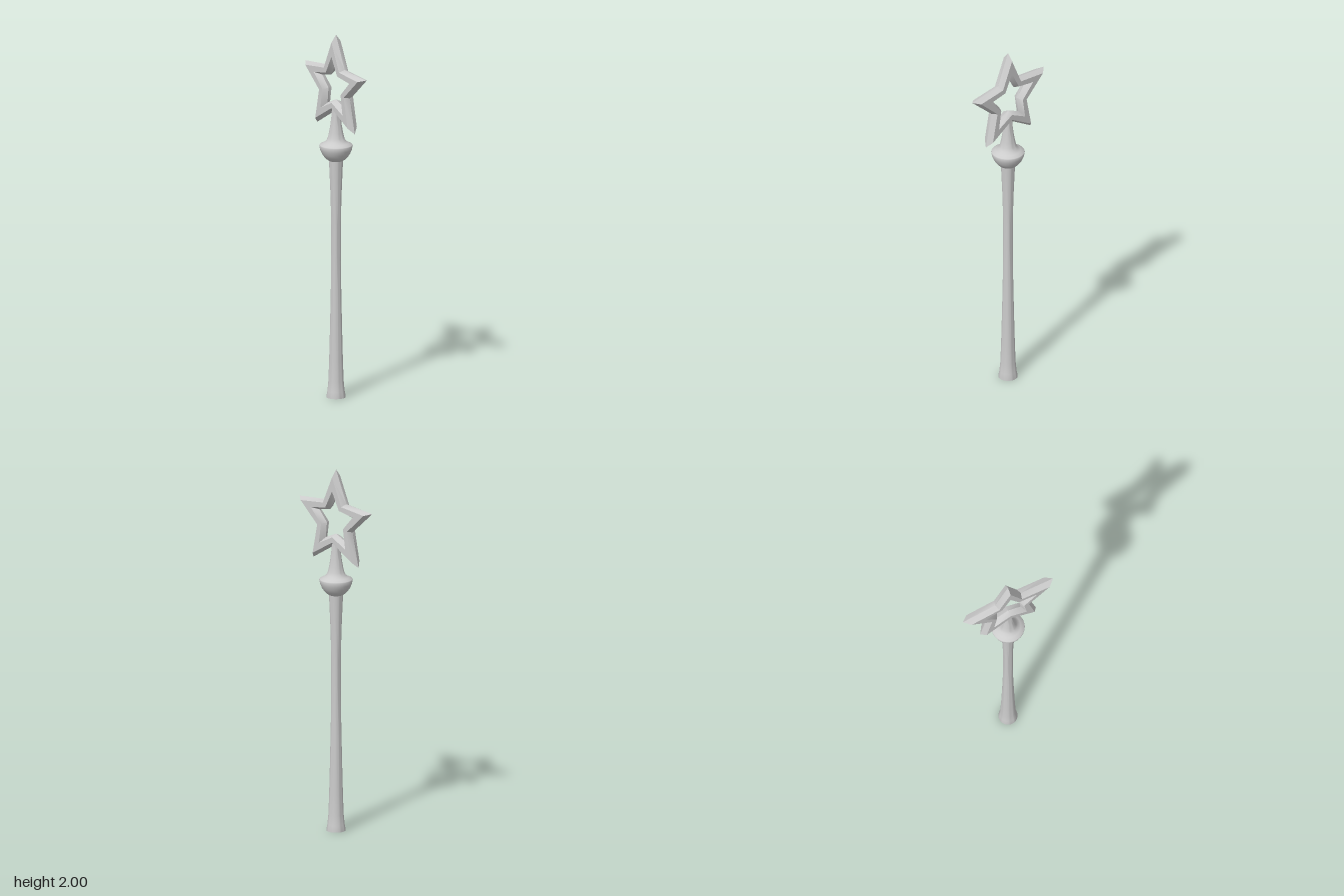
import * as THREE from 'three';
import { toCreasedNormals } from 'three/addons/utils/BufferGeometryUtils.js';

const material = new THREE.MeshStandardMaterial({ color: 0xcccccc });

function addMesh(group, name, geometry, crease) {
  const mesh = new THREE.Mesh(toCreasedNormals(geometry, crease), material);
  mesh.name = name;
  group.add(mesh);
  return mesh;
}

// Turned part from [radius, height] pairs, bottom to top
function turned(profile) {
  return new THREE.LatheGeometry(profile.map(([r, y]) => new THREE.Vector2(r, y)), 32);
}

// Closed star ring with a six-sided section, wider at the tips than at the notches
function starRing() {
  const corners = 10, sides = 6, depth = 0.031;
  const tip = { mid: 0.207, half: 0.078 };
  const notch = { mid: 0.101, half: 0.03 };
  const positions = [], index = [];
  for (let i = 0; i < corners; i++) {
    const a = (i / corners) * Math.PI * 2;
    const { mid, half } = i % 2 ? notch : tip;
    for (let j = 0; j < sides; j++) {
      const t = (j / sides) * Math.PI * 2;
      const r = mid + half * Math.cos(t);
      positions.push(r * Math.sin(a), r * Math.cos(a), depth * Math.sin(t) / Math.sin(Math.PI / 3));
      const n = ((i + 1) % corners) * sides, k = (j + 1) % sides;
      const p = i * sides + j, q = i * sides + k;
      index.push(p, q, n + j, q, n + k, n + j);
    }
  }
  const geometry = new THREE.BufferGeometry();
  geometry.setAttribute('position', new THREE.Float32BufferAttribute(positions, 3));
  geometry.setIndex(index);
  return geometry;
}

export function createModel() {
  const group = new THREE.Group();
  group.name = 'starWand';

  // Slim waisted handle with a flared foot
  addMesh(group, 'handle', turned([
    [0, 0], [0.051, 0], [0.051, 0.01], [0.046, 0.035], [0.041, 0.09], [0.037, 0.2], [0.032, 0.4],
    [0.028, 0.6], [0.026, 0.8], [0.026, 0.95], [0.029, 1.1], [0.034, 1.22], [0.038, 1.31],
  ]), 0.7);

  // Cup-shaped collar rising into the tapering neck
  addMesh(group, 'collar', turned([
    [0.036, 1.305], [0.05, 1.314], [0.064, 1.328], [0.076, 1.346], [0.085, 1.367], [0.09, 1.39],
    [0.088, 1.394], [0.068, 1.403], [0.052, 1.416], [0.044, 1.434], [0.038, 1.46], [0.031, 1.5],
    [0.025, 1.55], [0.021, 1.6], [0, 1.605],
  ]), 0.8);

  // Open star at the head
  addMesh(group, 'star', starRing(), 0.85).position.y = 1.715;

  return group;
}
